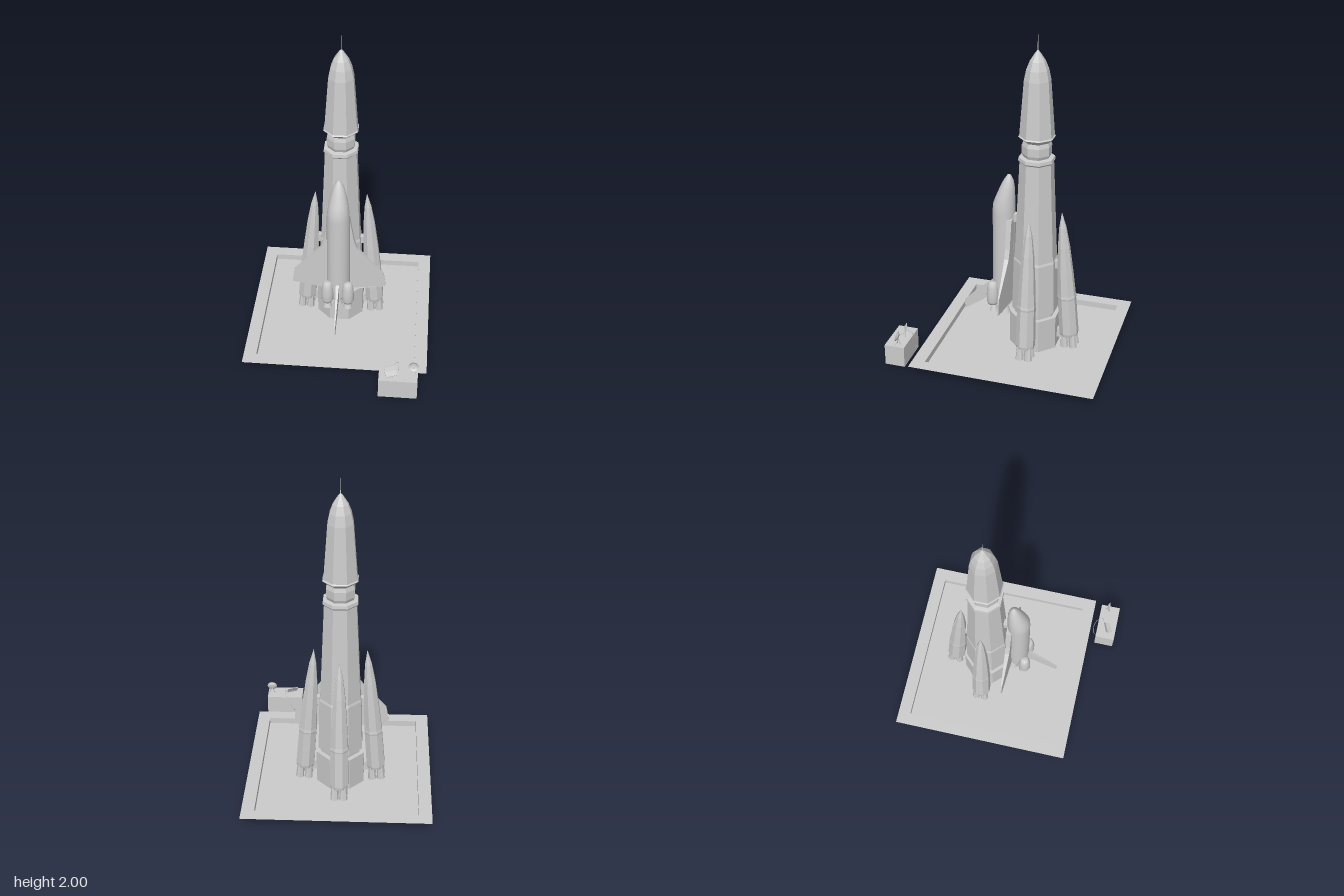
import * as THREE from 'three';

const flat = new THREE.MeshStandardMaterial({ color: 0xcccccc, flatShading: true });
const sheet = new THREE.MeshStandardMaterial({ color: 0xcccccc, flatShading: true, side: THREE.DoubleSide });
const smooth = new THREE.MeshStandardMaterial({ color: 0xcccccc });

function add(parent, name, geometry, material = flat, x = 0, y = 0, z = 0) {
  const mesh = new THREE.Mesh(geometry, material);
  mesh.name = name;
  mesh.position.set(x, y, z);
  parent.add(mesh);
  return mesh;
}

function subgroup(parent, name, x = 0, y = 0, z = 0) {
  const g = new THREE.Group();
  g.name = name;
  g.position.set(x, y, z);
  parent.add(g);
  return g;
}

// Eight-sided turned body; profile is [distance to flat side, height]
function octagon(profile) {
  const k = 1 / Math.cos(Math.PI / 8);
  return new THREE.LatheGeometry(profile.map(([r, y]) => new THREE.Vector2(r * k, y)), 8, Math.PI / 8);
}

function turned(profile, sides = 20) {
  return new THREE.LatheGeometry(profile.map(([r, y]) => new THREE.Vector2(r, y)), sides);
}

// Flat blade whose thickness shrinks from root to tip along x
function blade(outline, thickness, root, tip) {
  const shape = new THREE.Shape(outline.map(([x, y]) => new THREE.Vector2(x, y)));
  const g = new THREE.ExtrudeGeometry(shape, { depth: thickness, bevelEnabled: false });
  g.translate(0, 0, -thickness / 2);
  const p = g.attributes.position;
  for (let i = 0; i < p.count; i++) {
    const u = THREE.MathUtils.clamp((Math.abs(p.getX(i)) - root) / (tip - root), 0, 1);
    p.setZ(i, p.getZ(i) * (1 - 0.8 * u));
  }
  g.computeVertexNormals();
  return g;
}

// Skin over elliptical rings [height, half width, back z, front z]
function loft(rings, sides = 28) {
  const pos = [], index = [];
  rings.forEach(([y, w, z0, z1], i) => {
    for (let j = 0; j < sides; j++) {
      const t = (j / sides) * Math.PI * 2;
      pos.push(w * Math.cos(t), y, (z0 + z1) / 2 + ((z1 - z0) / 2) * Math.sin(t));
      if (i === rings.length - 1) continue;
      const a = i * sides + j, b = i * sides + ((j + 1) % sides);
      index.push(a, a + sides, b, b, a + sides, b + sides);
    }
  });
  const g = new THREE.BufferGeometry();
  g.setAttribute('position', new THREE.Float32BufferAttribute(pos, 3));
  g.setIndex(index);
  g.computeVertexNormals();
  return g;
}

// Sunken pad: floor, four walls and a flat rim
function buildPad(root) {
  const pad = subgroup(root, 'launchPad', -0.002, 0, -0.088);
  const inner = 0.492, outer = 0.571, low = 0.006, high = 0.045;
  add(pad, 'padFloor', new THREE.PlaneGeometry(2 * inner, 2 * inner).rotateX(-Math.PI / 2), sheet, 0, low, 0);
  for (let i = 0; i < 4; i++) {
    const wall = new THREE.PlaneGeometry(2 * inner, high - low);
    wall.translate(0, (high + low) / 2, inner).rotateY((i * Math.PI) / 2);
    add(pad, 'padWall', wall, sheet);
  }
  const square = (h) => [[-h, -h], [h, -h], [h, h], [-h, h]].map(([x, y]) => new THREE.Vector2(x, y));
  const rim = new THREE.Shape(square(outer));
  rim.holes.push(new THREE.Path(square(inner)));
  add(pad, 'padRim', new THREE.ShapeGeometry(rim).rotateX(-Math.PI / 2), sheet, 0, high, 0);
}

function buildBooster(rocket, angle) {
  const arm = subgroup(rocket, 'boosterArm');
  arm.rotation.y = angle;
  const booster = subgroup(arm, 'booster', 0, 0.015, 0.227);
  booster.rotation.x = -0.075;
  add(booster, 'boosterBody', octagon([
    [0, 0.07], [0.052, 0.07], [0.056, 0.09], [0.053, 0.33], [0.055, 0.34], [0.052, 0.36],
    [0.046, 0.5], [0.035, 0.68], [0.021, 0.81], [0, 0.91]]));
  for (const x of [-0.027, 0.027]) for (const z of [-0.027, 0.027])
    add(booster, 'boosterNozzle', new THREE.CylinderGeometry(0.018, 0.026, 0.09, 8), flat, x, 0.04, z);
  // Links to the core
  add(arm, 'lowerLink', new THREE.BoxGeometry(0.035, 0.06, 0.07), flat, 0, 0.09, 0.16);
  add(arm, 'upperLink', new THREE.BoxGeometry(0.035, 0.05, 0.06), flat, 0, 0.57, 0.14);
}

function buildRocket(root) {
  const rocket = subgroup(root, 'rocket', -0.01, 0, -0.15);
  add(rocket, 'engineSkirt', octagon([[0, 0], [0.146, 0], [0.146, 0.222], [0.12, 0.222]]));
  add(rocket, 'coreStage', octagon([
    [0.118, 0.2], [0.118, 0.245], [0.134, 0.25], [0.126, 0.59], [0.121, 0.605], [0.095, 1.235],
    [0.103, 1.245], [0.1, 1.265], [0.074, 1.27]]));
  add(rocket, 'neck', octagon([[0.074, 1.265], [0.083, 1.29], [0.083, 1.34], [0.074, 1.37]]));
  add(rocket, 'fairing', octagon([[0.074, 1.365], [0.103, 1.393], [0.097, 1.4], [0.073, 1.738]]));
  add(rocket, 'noseCone', octagon([[0.073, 1.738], [0.061, 1.8], [0.043, 1.85], [0.013, 1.9], [0, 1.915]]));
  add(rocket, 'antenna', new THREE.CylinderGeometry(0.001, 0.003, 0.1, 6), flat, 0, 1.95, 0);
  [-Math.PI / 2, Math.PI / 2, Math.PI].forEach((a) => buildBooster(rocket, a));
}

function buildShuttle(root) {
  const shuttle = subgroup(root, 'shuttle', -0.01, 0, 0);
  add(shuttle, 'fuselage', loft([
    [0.28, 0, 0.05, 0.05], [0.28, 0.064, -0.01, 0.112], [0.285, 0.067, -0.012, 0.115], [0.4, 0.073, -0.016, 0.122],
    [0.88, 0.07, -0.016, 0.122], [0.93, 0.066, -0.016, 0.12], [0.98, 0.059, -0.016, 0.102], [1.04, 0.046, -0.014, 0.077],
    [1.085, 0.033, -0.008, 0.056], [1.115, 0.018, 0.004, 0.038], [1.127, 0.007, 0.014, 0.028], [1.13, 0, 0.02, 0.02]]), smooth);

  // Mirrored wings
  const wing = [[0, 0.29], [0.08, 0.29], [0.295, 0.32], [0.292, 0.36], [0.28, 0.425],
    [0.17, 0.545], [0.115, 0.61], [0.095, 0.67], [0.065, 0.85], [0, 0.85]];
  for (const s of [-1, 1]) {
    const outline = wing.map(([x, y]) => [s * x, y]);
    add(shuttle, s > 0 ? 'leftWing' : 'rightWing', blade(outline, 0.034, 0.06, 0.295), sheet, 0, 0, 0.003);
  }

  // Tail fin, drawn with x as depth and then turned
  const fin = blade([[0.1, 0.42], [0.122, 0.4], [0.25, 0.285], [0.317, 0.215], [0.312, 0.155], [0.2, 0.235],
    [0.155, 0.275], [0.1, 0.285]], 0.022, 0.1, 0.317);
  add(shuttle, 'tailFin', fin.rotateY(-Math.PI / 2), sheet);

  // Rear pods with their small nozzles, and the main engines
  const bell = (r, h) => turned([[0, h], [r, 0], [r * 0.8, 0], [0, h * 0.8]].reverse(), 16);
  for (const s of [-1, 1]) {
    add(shuttle, 'enginePod', turned([[0, 0.262], [0.03, 0.262], [0.038, 0.28], [0.038, 0.33], [0.034, 0.375],
      [0.028, 0.4], [0.019, 0.412], [0, 0.412]]), smooth, s * 0.064, 0, 0.108);
    add(shuttle, 'podNozzle', bell(0.028, 0.08), sheet, s * 0.064, 0.212, 0.1);
    add(shuttle, 'mainEngine', bell(0.031, 0.1), sheet, s * 0.045, 0.202, 0.03);
  }
  add(shuttle, 'mainEngine', bell(0.028, 0.1), sheet, 0, 0.212, 0.075);

  // Mounts between shuttle and core
  for (const y of [0.32, 0.85])
    add(shuttle, 'mount', new THREE.BoxGeometry(0.04, 0.05, 0.05), flat, 0, y, -0.022);
}

function buildConsole(root) {
  const console = subgroup(root, 'controlConsole', 0.398, 0, 0.59);
  add(console, 'consoleBox', new THREE.BoxGeometry(0.235, 0.134, 0.125), flat, 0, 0.067, 0);

  const laptop = subgroup(console, 'laptop', -0.046, 0.137, 0.005);
  laptop.rotation.y = 0.4;
  add(laptop, 'keyboard', new THREE.BoxGeometry(0.07, 0.005, 0.035), flat, 0, 0.01, 0.008).rotation.x = 0.35;
  add(laptop, 'screen', new THREE.BoxGeometry(0.07, 0.045, 0.004), flat, 0, 0.025, -0.012).rotation.x = -0.5;

  // Small dish on a tripod
  const dish = subgroup(console, 'dishAntenna', 0.09, 0.192, -0.012);
  const bowl = turned([[0, -0.01], [0.018, -0.007], [0.032, 0.003]], 16).rotateX(Math.PI / 2 - 0.2);
  add(dish, 'bowl', bowl, sheet);
  add(dish, 'feed', new THREE.SphereGeometry(0.005, 8, 6), smooth, 0, 0.003, 0.012);
  for (let i = 0; i < 3; i++) {
    const a = (i * Math.PI * 2) / 3 + Math.PI / 6;
    const leg = new THREE.LineCurve3(new THREE.Vector3(0, -0.01, -0.005),
      new THREE.Vector3(0.022 * Math.cos(a), -0.058, 0.018 * Math.sin(a)));
    add(dish, 'leg', new THREE.TubeGeometry(leg, 1, 0.0025, 6));
  }

  // Cable looping over the back edge
  const path = new THREE.CatmullRomCurve3([[0, 0.137, -0.03], [0, 0.19, -0.035], [-0.01, 0.165, -0.07],
    [-0.04, 0.1, -0.088], [-0.065, 0.05, -0.08], [-0.07, 0.03, -0.06]].map((p) => new THREE.Vector3(...p)));
  add(console, 'cable', new THREE.TubeGeometry(path, 24, 0.0015, 6), smooth);
}

export function createModel() {
  const model = new THREE.Group();
  model.name = 'launchSite';
  buildPad(model);
  buildRocket(model);
  buildShuttle(model);
  buildConsole(model);
  return model;
}
